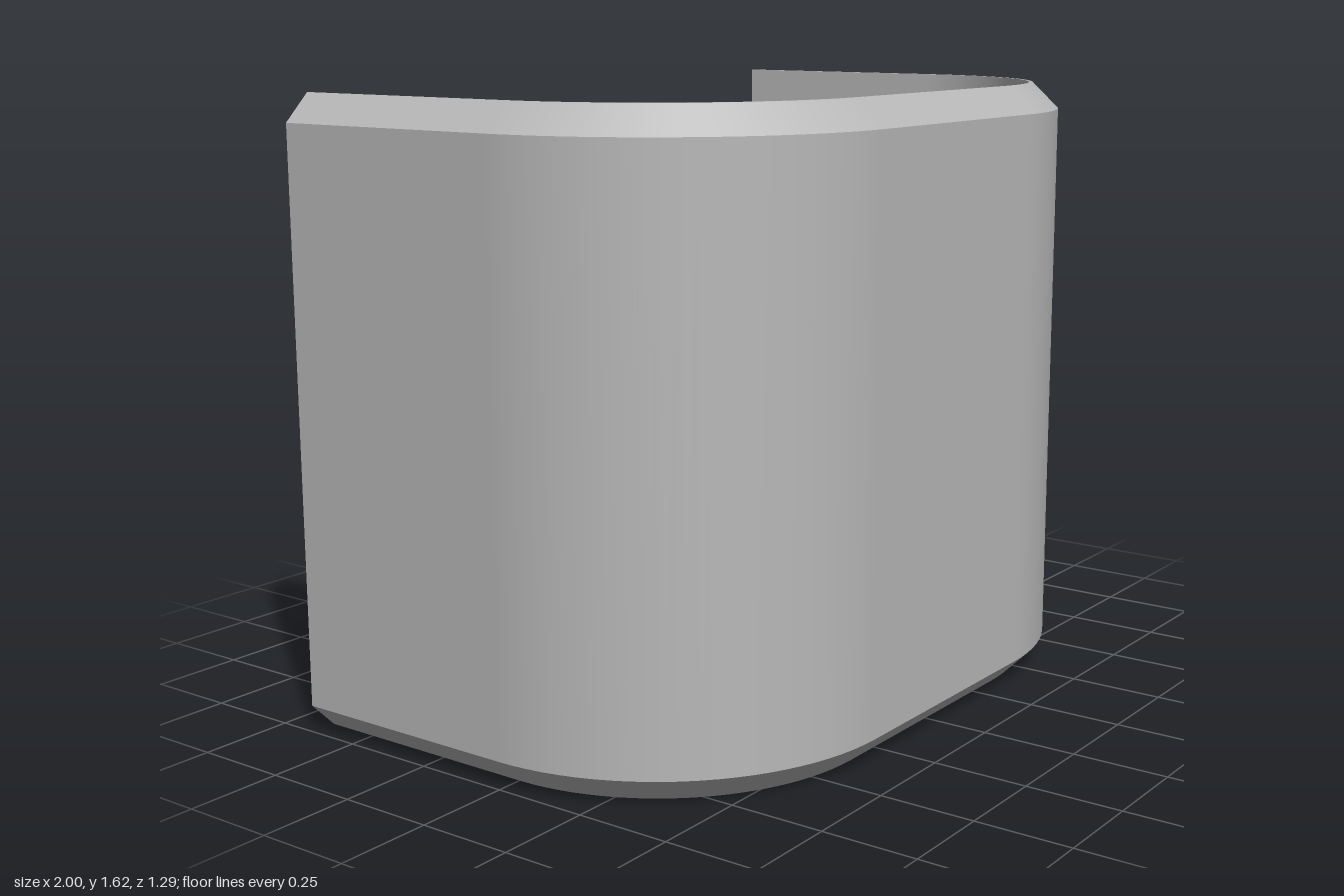
import * as THREE from 'three';

const HEIGHT = 1.615, CHAMFER = 0.07, WALL = 0.08;
const RADIUS = 0.643, BACK = -0.643, CORNER_X = 1 - RADIUS;
const RIDGES = 7, PITCH = 0.217, RIDGE = 0.036;

// Wall cross-section as [inward depth, height]: up the outside, down the ridged inside
function wallProfile() {
  const pts = [[0, CHAMFER], [0, HEIGHT - CHAMFER], [CHAMFER, HEIGHT], [WALL, HEIGHT]];
  for (let i = 0; i < RIDGES; i++) {
    const y = HEIGHT / 2 + ((RIDGES - 1) / 2 - i) * PITCH;
    pts.push([WALL, y + RIDGE], [WALL + RIDGE, y], [WALL, y - RIDGE]);
  }
  pts.push([WALL, 0], [CHAMFER, 0]);
  return pts;
}

// U-shaped path: straight side, rounded corner, front, rounded corner, straight side
function wallPath(steps = 24) {
  const path = [{ x: 1, z: BACK, nx: 1, nz: 0 }];
  for (const side of [1, -1]) {
    for (let i = 0; i <= steps; i++) {
      const a = (Math.PI / 2) * (i / steps + (side < 0 ? 1 : 0));
      const nx = Math.cos(a), nz = Math.sin(a);
      path.push({ x: side * CORNER_X + RADIUS * nx, z: RADIUS * nz, nx, nz });
    }
  }
  path.push({ x: -1, z: BACK, nx: -1, nz: 0 });
  return path;
}

// Sweep each profile edge as its own strip: sharp along edges, smooth around corners
function sweep(profile, path) {
  const pos = [], nor = [], idx = [];
  profile.forEach((p, k) => {
    const q = profile[(k + 1) % profile.length];
    const dd = q[0] - p[0], dy = q[1] - p[1], len = Math.hypot(dd, dy);
    const base = pos.length / 3;
    path.forEach((s, i) => {
      for (const [d, y] of [p, q]) {
        pos.push(s.x - s.nx * d, y, s.z - s.nz * d);
        nor.push((s.nx * dy) / len, dd / len, (s.nz * dy) / len);
      }
      if (i < path.length - 1) {
        const a = base + 2 * i;
        idx.push(a, a + 1, a + 2, a + 1, a + 3, a + 2);
      }
    });
  });
  const g = new THREE.BufferGeometry();
  g.setAttribute('position', new THREE.Float32BufferAttribute(pos, 3));
  g.setAttribute('normal', new THREE.Float32BufferAttribute(nor, 3));
  g.setIndex(idx);
  return g;
}

export function createModel() {
  const group = new THREE.Group();
  group.name = 'ridgedShell';
  const grey = new THREE.MeshStandardMaterial({ color: 0xb8b8b8 });
  grey.name = 'grey';

  const profile = wallProfile();
  const wall = new THREE.Mesh(sweep(profile, wallPath()), grey);
  wall.name = 'ridgedWall';
  group.add(wall);

  // Flat cut ends facing the back
  for (const side of [1, -1]) {
    const shape = new THREE.Shape(profile.map(([d, y]) => new THREE.Vector2(-side * (1 - d), y)));
    const end = new THREE.Mesh(new THREE.ShapeGeometry(shape), grey);
    end.rotation.y = Math.PI;
    end.position.z = BACK;
    end.name = side > 0 ? 'leftEnd' : 'rightEnd';
    group.add(end);
  }
  return group;
}
